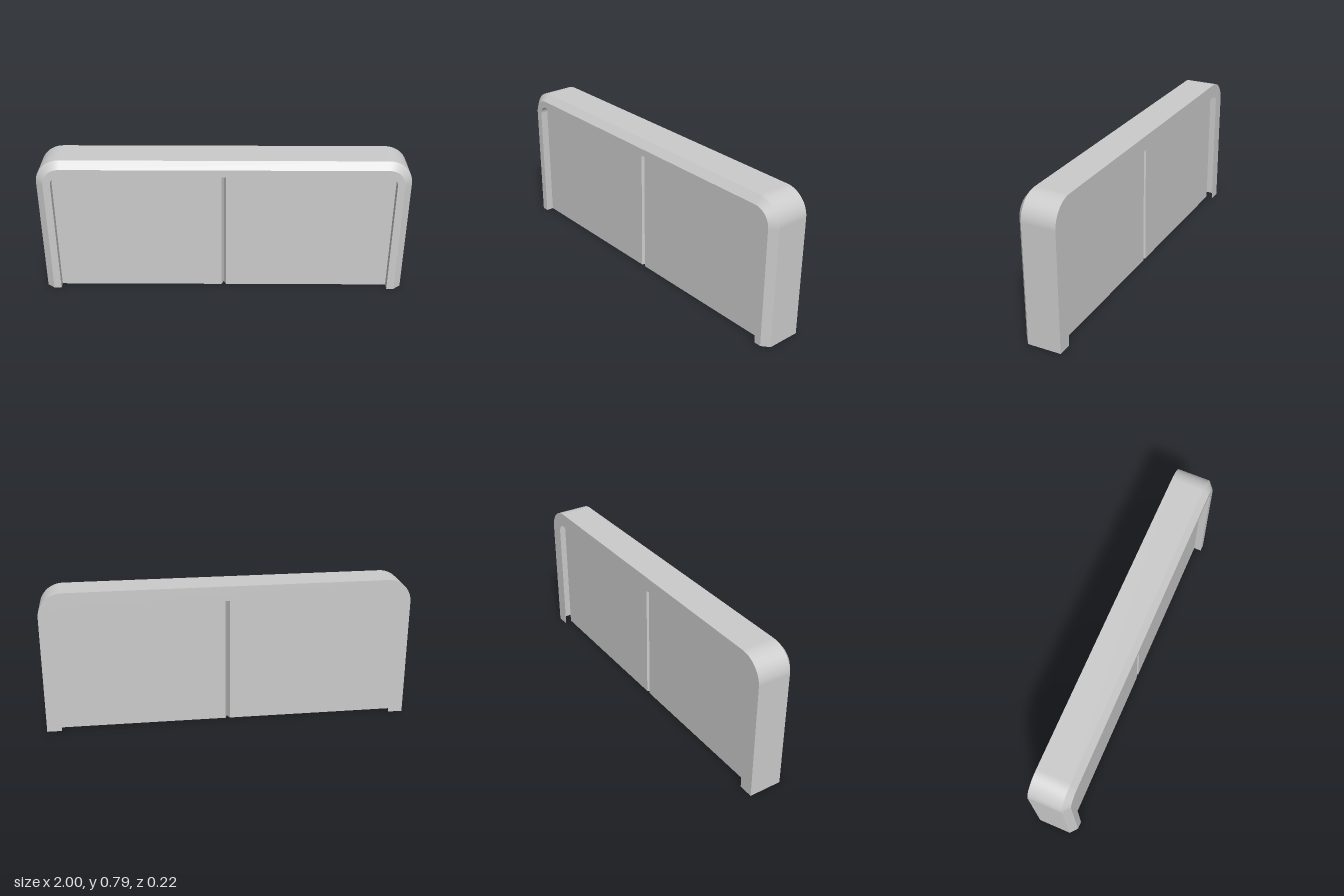
import * as THREE from 'three';
import { mergeGeometries } from 'three/addons/utils/BufferGeometryUtils.js';

const HEIGHT = 0.79, RADIUS = 0.13, ARC = 12;
const PANEL_Z = 0.065, PANEL_X = 0.935, PANEL_TOP = 0.725, GROOVE = 0.012;

// Arch outline, moved inward by an inset: up one leg, over the top, down the other
function archPath(inset) {
  const r = RADIUS - inset;
  const half = [new THREE.Vector2(-1 + inset, 0)];
  for (let i = 0; i <= ARC; i++) {
    const a = Math.PI - (i / ARC) * Math.PI / 2;
    half.push(new THREE.Vector2(-1 + RADIUS + r * Math.cos(a), HEIGHT - RADIUS + r * Math.sin(a)));
  }
  const mirrored = half.map(p => new THREE.Vector2(-p.x, p.y)).reverse();
  return [...half, ...mirrored];
}

// One strip of the frame between two profile points [inset, z]
function archStrip([d0, z0], [d1, z1]) {
  const a = archPath(d0), b = archPath(d1), n = a.length;
  const pos = [], index = [];
  a.forEach((p, i) => pos.push(p.x, p.y, z0, b[i].x, b[i].y, z1));
  for (let i = 0; i < n - 1; i++) {
    const k = 2 * i;
    index.push(k, k + 1, k + 2, k + 1, k + 3, k + 2);
  }
  const g = new THREE.BufferGeometry();
  g.setAttribute('position', new THREE.Float32BufferAttribute(pos, 3));
  g.setIndex(index);
  g.computeVertexNormals();
  return g;
}

export function createModel() {
  const model = new THREE.Group();
  const solid = new THREE.MeshStandardMaterial({ color: 0xcccccc });
  const sheet = new THREE.MeshStandardMaterial({ color: 0xcccccc, side: THREE.DoubleSide });
  const add = (name, geometry, material) => {
    const mesh = new THREE.Mesh(geometry, material);
    mesh.name = name;
    model.add(mesh);
    return mesh;
  };

  // Hollow frame, open at the feet: back lip, outer wall, bevel, front lip, inner return
  const profile = [[0.08, -0.108], [0, -0.108], [0, 0.075], [0.04, 0.108], [0.08, 0.108], [0.08, PANEL_Z]];
  const strips = profile.slice(1).map((p, i) => archStrip(profile[i], p));
  add('frame', mergeGeometries(strips), sheet);

  // Two panel halves with a rounded outer top corner, held inside the frame
  const r = 0.035;
  const half = new THREE.Shape();
  half.moveTo(GROOVE, 0);
  half.lineTo(PANEL_X, 0);
  half.lineTo(PANEL_X, PANEL_TOP - r);
  half.absarc(PANEL_X - r, PANEL_TOP - r, r, 0, Math.PI / 2, false);
  half.lineTo(GROOVE, PANEL_TOP);
  half.closePath();
  const halfGeo = new THREE.ExtrudeGeometry(half, { depth: 2 * PANEL_Z, bevelEnabled: false, curveSegments: 8 });
  halfGeo.translate(0, 0, -PANEL_Z);
  add('leftPanel', halfGeo, solid);
  add('rightPanel', halfGeo, solid).rotation.y = Math.PI;

  // Centre seam with a V groove on both faces
  const depth = 0.03;
  const seam = new THREE.Shape([
    [-GROOVE, -PANEL_Z], [0, -PANEL_Z + depth], [GROOVE, -PANEL_Z],
    [GROOVE, PANEL_Z], [0, PANEL_Z - depth], [-GROOVE, PANEL_Z],
  ].map(([x, y]) => new THREE.Vector2(x, y)));
  const seamGeo = new THREE.ExtrudeGeometry(seam, { depth: PANEL_TOP, bevelEnabled: false });
  seamGeo.rotateX(-Math.PI / 2);
  add('centreSeam', seamGeo, solid);

  return model;
}
